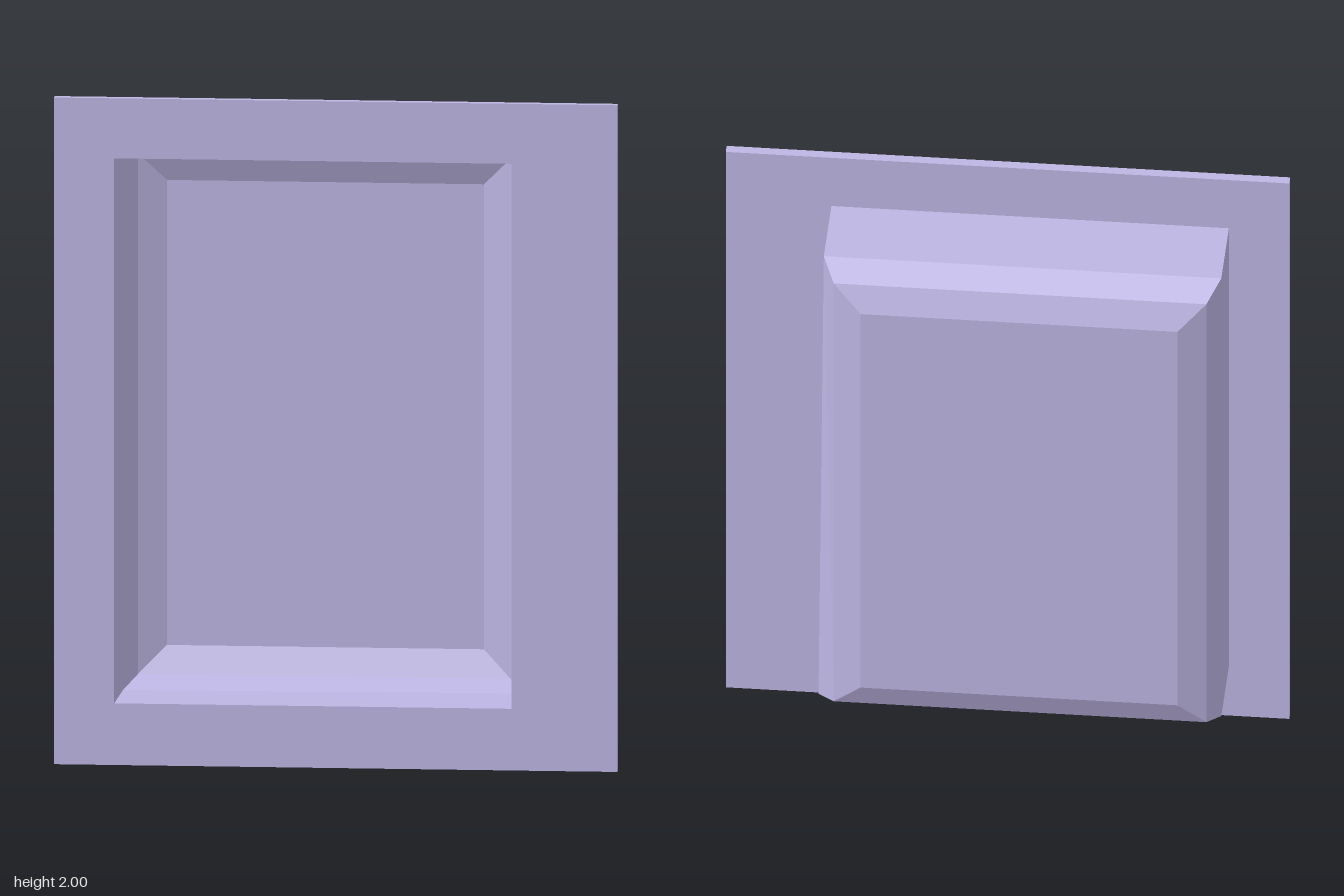
import * as THREE from 'three';

const material = new THREE.MeshStandardMaterial({ color: 0xbdb5e3, flatShading: true, side: THREE.DoubleSide });

// Opening of the recess in the panel
const X0 = -0.66, X1 = 0.525, Y0 = 0.185, Y1 = 1.82;

// Rectangle corners, counter-clockwise from the lower -x corner
function ring(inset, z) {
  return [
    [X0 + inset, Y0 + inset, z],
    [X1 - inset, Y0 + inset, z],
    [X1 - inset, Y1 - inset, z],
    [X0 + inset, Y1 - inset, z],
  ];
}

// Flat front panel with a rectangular opening
function makePanel() {
  const shape = new THREE.Shape([
    new THREE.Vector2(-0.84, 0), new THREE.Vector2(0.84, 0),
    new THREE.Vector2(0.84, 2), new THREE.Vector2(-0.84, 2),
  ]);
  shape.holes.push(new THREE.Path(ring(0, 0).reverse().map(([x, y]) => new THREE.Vector2(x, y))));
  const geometry = new THREE.ExtrudeGeometry(shape, { depth: 0.03, bevelEnabled: false });
  geometry.translate(0, 0, 0.166);
  const mesh = new THREE.Mesh(geometry, material);
  mesh.name = 'frontPanel';
  return mesh;
}

// Hollow tray behind the opening: straight walls, two bevels, flat back
function makeTray() {
  const rings = [ring(0, 0.166), ring(0, -0.08), ring(0.037, -0.162), ring(0.12, -0.196)];
  rings[1][1] = [0.54, 0.19, -0.088]; // one corner bulges slightly
  const positions = rings.flat(2);
  const index = [];
  for (let r = 0; r < 3; r++) {
    for (let i = 0; i < 4; i++) {
      const a = r * 4 + i, b = r * 4 + (i + 1) % 4;
      index.push(a, a + 4, b, b, a + 4, b + 4);
    }
  }
  index.push(12, 14, 13, 12, 15, 14); // back
  const geometry = new THREE.BufferGeometry();
  geometry.setAttribute('position', new THREE.Float32BufferAttribute(positions, 3));
  geometry.setIndex(index);
  const flat = geometry.toNonIndexed();
  flat.computeVertexNormals();
  const mesh = new THREE.Mesh(flat, material);
  mesh.name = 'recessTray';
  return mesh;
}

export function createModel() {
  const group = new THREE.Group();
  group.name = 'recessedPanel';
  group.add(makePanel(), makeTray());
  return group;
}
